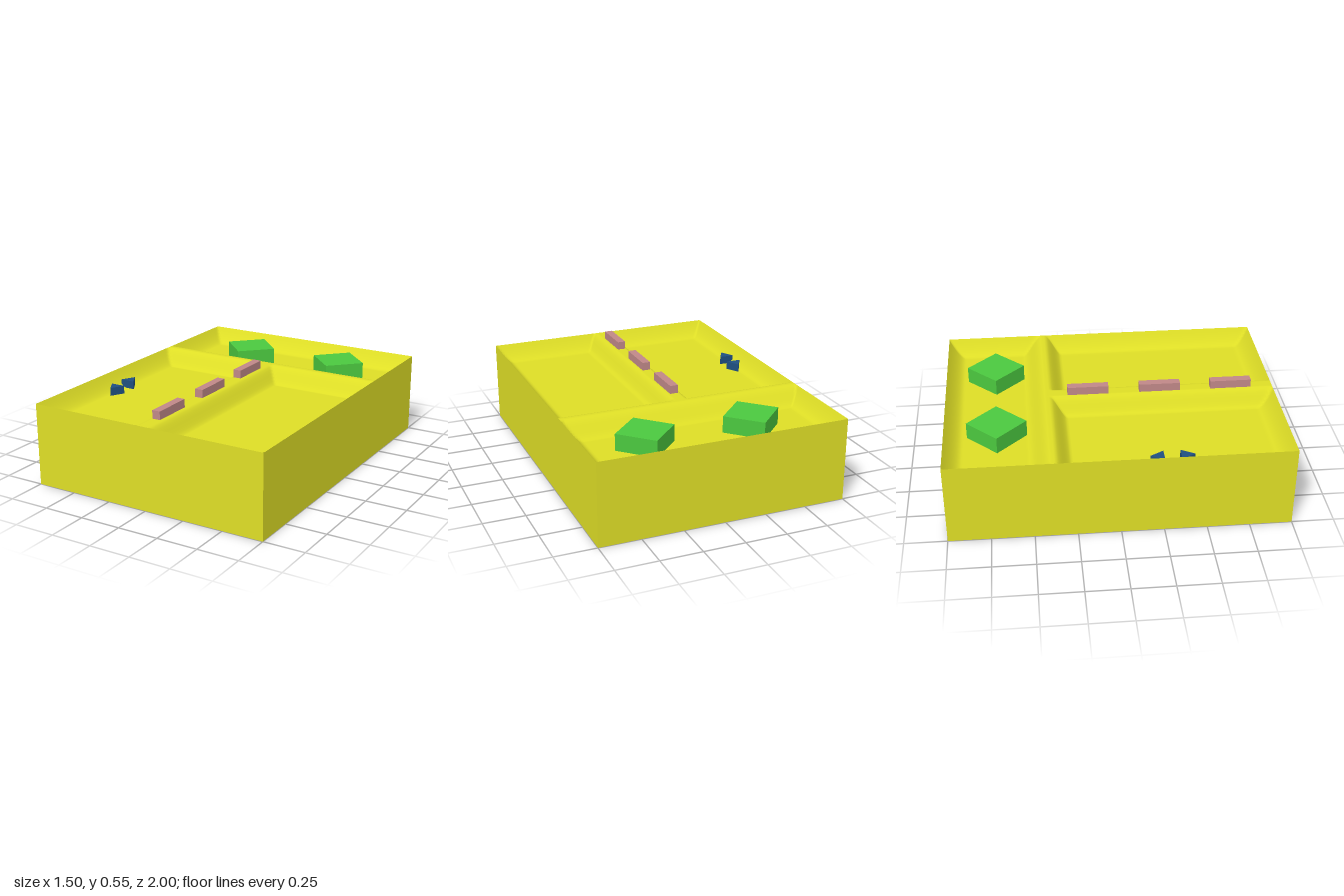
import * as THREE from 'three';

const W = 1.5, H = 0.5, L = 2, FLOOR = 0.4;
const paint = (color) => new THREE.MeshStandardMaterial({ color });

// Height share (0..1) of a wall that runs from its crest down to the floor
const cove = (d, width) => { // concave fillet against an outer wall
  const t = Math.min(Math.max(d / width, 0), 1);
  return Math.pow(1 - t, 1.6);
};
const bank = (d, width) => { // softened slope of a divider
  const t = Math.min(Math.max(d / width, 0), 1);
  const s = t * t * (3 - 2 * t);
  return 1 - (0.5 * t + 0.5 * s);
};

function surfaceHeight(x, z) {
  const rim = Math.max(cove(W / 2 - Math.abs(x), 0.09), cove(L / 2 - Math.abs(z), 0.1));
  const cross = z < -0.385 ? bank(-0.4 - z, 0.11) : bank(z + 0.365, 0.09);
  const middle = z > -0.385 ? bank(Math.abs(x) - 0.04, 0.08) : 0;
  return FLOOR + (H - FLOOR) * Math.max(rim, cross, middle);
}

export function createModel() {
  const model = new THREE.Group();
  const add = (name, geometry, material, x = 0, y = 0, z = 0) => {
    const mesh = new THREE.Mesh(geometry, material);
    mesh.name = name;
    mesh.position.set(x, y, z);
    model.add(mesh);
    return mesh;
  };
  const yellow = paint(0xdede26), green = paint(0x4bc83f);
  const pink = paint(0xc08888), blue = paint(0x1f4f80);

  // Outer block without its top face
  const block = new THREE.BoxGeometry(W, H, L);
  const index = Array.from(block.index.array);
  index.splice(12, 6);
  block.setIndex(index);
  block.clearGroups();
  add('trayBody', block, yellow, 0, H / 2, 0);

  // Three recessed compartments with smooth walls
  const top = new THREE.PlaneGeometry(W, L, 120, 160).rotateX(-Math.PI / 2);
  const p = top.attributes.position;
  for (let i = 0; i < p.count; i++) p.setY(i, surfaceHeight(p.getX(i), p.getZ(i)));
  top.computeVertexNormals();
  add('compartments', top, yellow);

  // Diamond blocks in the back compartment
  for (const x of [-0.295, 0.357]) {
    add('diamondBlock', new THREE.BoxGeometry(0.25, 0.12, 0.25), green, x, 0.44, -0.695)
      .rotation.y = Math.PI / 4;
  }

  // Bars along the middle divider
  for (const z of [-0.137, 0.302, 0.74]) {
    add('dividerBar', new THREE.BoxGeometry(0.05, 0.05, 0.25), pink, -0.005, 0.525, z);
  }

  // Pair of triangular buttons pointing away from each other
  const triangle = new THREE.Shape([
    new THREE.Vector2(-0.046, 0), new THREE.Vector2(0.046, 0), new THREE.Vector2(0, 0.08),
  ]);
  for (const [z, turn] of [[0.25, 0], [0.348, Math.PI]]) {
    const button = new THREE.ExtrudeGeometry(triangle, { depth: 0.06, bevelEnabled: false });
    button.rotateX(-Math.PI / 2);
    add('arrowButton', button, blue, -0.65, 0.39, z).rotation.y = turn;
  }
  return model;
}
